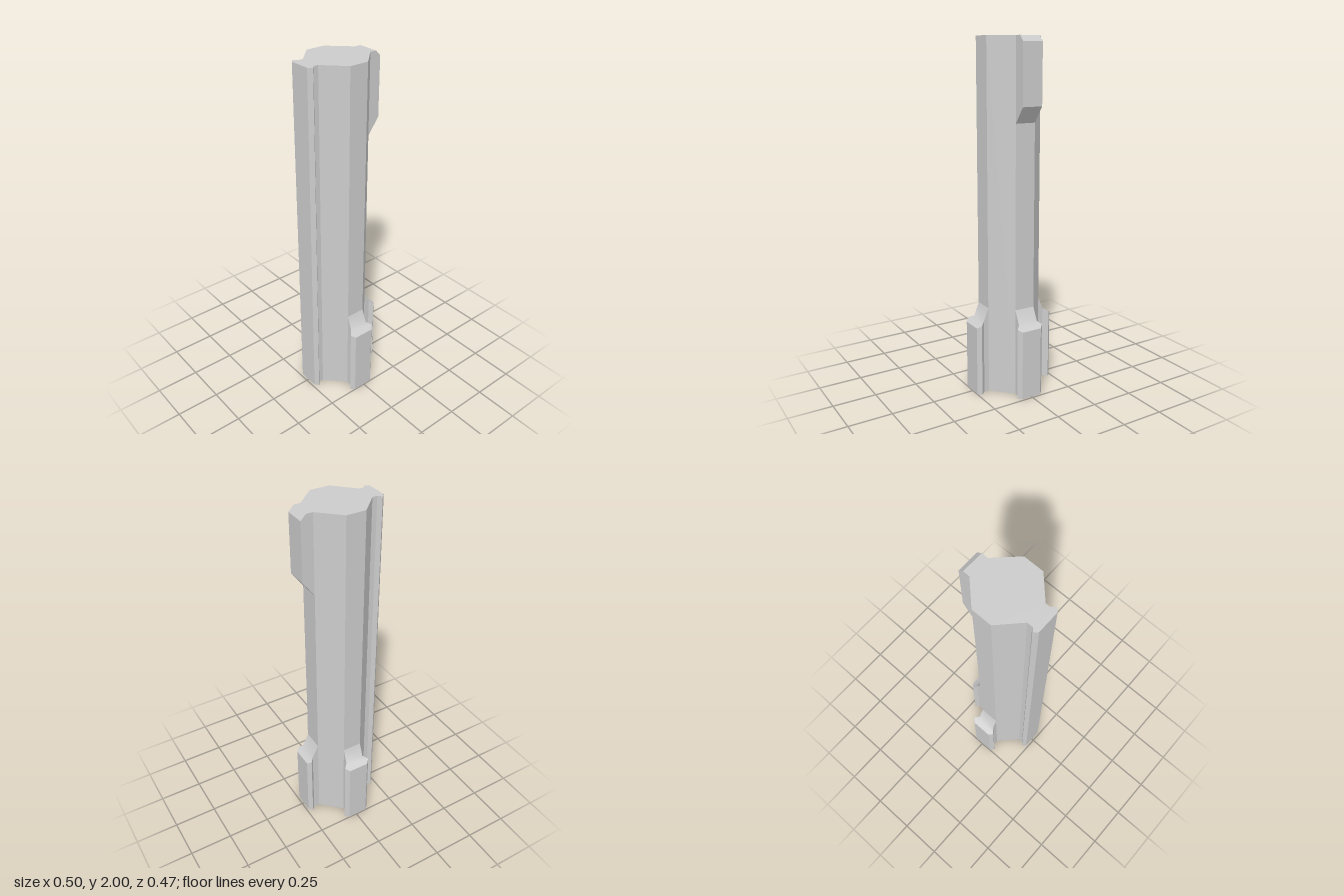
import * as THREE from 'three';
import { toCreasedNormals } from 'three/addons/utils/BufferGeometryUtils.js';

const grey = new THREE.MeshStandardMaterial({ color: 0xcccccc });

function part(name, geometry, parent) {
  const mesh = new THREE.Mesh(geometry, grey);
  mesh.name = name;
  parent.add(mesh);
  return mesh;
}

// Key standing on y = 0 and growing along +z; each row is [distance, half width, height]
function keyGeometry(rows) {
  const pos = [];
  const quad = (a, b, c, d) => pos.push(...a, ...b, ...c, ...a, ...c, ...d);
  for (let i = 0; i < rows.length - 1; i++) {
    const [d0, w0, h0] = rows[i], [d1, w1, h1] = rows[i + 1];
    quad([-w0, h0, d0], [-w1, h1, d1], [w1, h1, d1], [w0, h0, d0]); // top
    quad([w0, 0, d0], [w1, 0, d1], [-w1, 0, d1], [-w0, 0, d0]); // underside
    quad([w0, 0, d0], [w0, h0, d0], [w1, h1, d1], [w1, 0, d1]); // flanks
    quad([-w0, 0, d0], [-w1, 0, d1], [-w1, h1, d1], [-w0, h0, d0]);
  }
  const [d, w, h] = rows[rows.length - 1];
  quad([-w, 0, d], [w, 0, d], [w, h, d], [-w, h, d]); // outer face
  const geometry = new THREE.BufferGeometry();
  geometry.setAttribute('position', new THREE.Float32BufferAttribute(pos, 3));
  return toCreasedNormals(geometry, 0.68);
}

export function createModel() {
  const model = new THREE.Group();
  model.name = 'splinedShaft';

  // Eight-sided core; shape y becomes -z
  const outline = [[0.06, 0.17], [0.17, 0.064], [0.17, -0.047], [0.06, -0.16],
    [-0.06, -0.16], [-0.17, -0.047], [-0.17, 0.064], [-0.06, 0.17]];
  const shape = new THREE.Shape(outline.map(([x, z]) => new THREE.Vector2(x, -z)));
  const core = new THREE.ExtrudeGeometry(shape, { depth: 2, bevelEnabled: false });
  core.rotateX(-Math.PI / 2);
  part('core', core, model);

  // Full-height front rib
  part('frontRib', keyGeometry([
    [0.17, 0.06, 2], [0.198, 0.06, 2], [0.216, 0.081, 2], [0.236, 0.06, 2],
  ]), model);

  // Short keys at the foot, with sloping tops
  for (const side of [1, -1]) {
    const key = part(side > 0 ? 'leftKey' : 'rightKey', keyGeometry([
      [0.17, 0.056, 0.51], [0.2, 0.056, 0.435], [0.227, 0.081, 0.419], [0.248, 0.06, 0.405],
    ]), model);
    key.rotation.y = side * Math.PI / 2;
    key.position.z = 0.0085;
  }
  const backKey = part('backKey', keyGeometry([
    [0.16, 0.06, 0.51], [0.197, 0.06, 0.435], [0.217, 0.081, 0.419], [0.238, 0.06, 0.405],
  ]), model);
  backKey.rotation.y = Math.PI;

  // Chamfered block at the top of the back; profile in (distance behind, height)
  const profile = new THREE.Shape([[0.16, 1.55], [0.227, 1.64], [0.227, 1.97], [0.197, 2], [0.16, 2]]
    .map(([d, y]) => new THREE.Vector2(d, y)));
  const block = new THREE.ExtrudeGeometry(profile, { depth: 0.12, bevelEnabled: false });
  block.translate(0, 0, -0.06);
  block.rotateY(Math.PI / 2);
  part('backBlock', block, model);

  return model;
}
